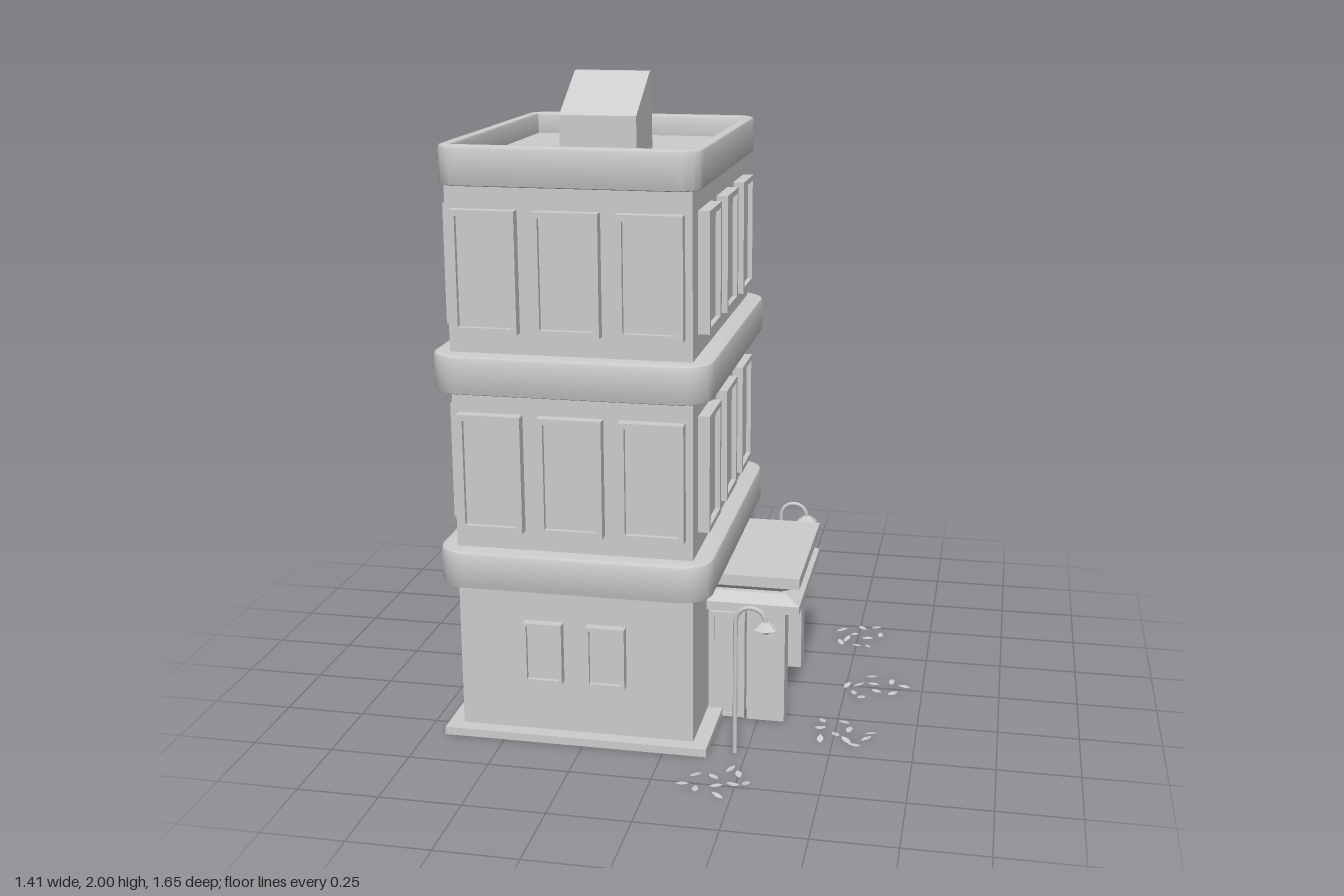
import * as THREE from 'three';
import { toCreasedNormals } from 'three/addons/utils/BufferGeometryUtils.js';

const grey = new THREE.MeshStandardMaterial({ color: 0xcccccc, side: THREE.DoubleSide });
grey.name = 'light grey';

const CX = -0.278, CZ = 0.053; // centre of the tower

function add(parent, name, geo) {
  const m = new THREE.Mesh(geo, grey);
  m.name = name;
  parent.add(m);
  return m;
}
function group(parent, name) {
  const g = new THREE.Group();
  g.name = name;
  parent.add(g);
  return g;
}
function box(parent, name, x0, x1, y0, y1, z0, z1) {
  const m = add(parent, name, new THREE.BoxGeometry(x1 - x0, y1 - y0, z1 - z0));
  m.position.set((x0 + x1) / 2, (y0 + y1) / 2, (z0 + z1) / 2);
  return m;
}
// Rectangle outline about the origin, with optional round corners
function rect(w, d, r = 0, T = THREE.Shape) {
  const s = new T(), a = w / 2, b = d / 2;
  if (!r) {
    s.moveTo(-a, -b).lineTo(a, -b).lineTo(a, b).lineTo(-a, b).closePath();
    return s;
  }
  s.absarc(a - r, b - r, r, 0, Math.PI / 2);
  s.absarc(-a + r, b - r, r, Math.PI / 2, Math.PI);
  s.absarc(-a + r, -b + r, r, Math.PI, Math.PI * 1.5);
  s.absarc(a - r, -b + r, r, Math.PI * 1.5, Math.PI * 2);
  s.closePath();
  return s;
}
// Horizontal slab or ring around the tower
function slab(parent, name, w, d, y0, y1, r, hole, bevel = 0) {
  const s = rect(w - 2 * bevel, d - 2 * bevel, r);
  if (hole) s.holes.push(rect(hole[0] + 2 * bevel, hole[1] + 2 * bevel, 0, THREE.Path));
  let g = new THREE.ExtrudeGeometry(s, {
    depth: y1 - y0 - 2 * bevel, bevelEnabled: bevel > 0, bevelSize: bevel,
    bevelThickness: bevel, bevelSegments: 2, curveSegments: 6,
  });
  g.rotateX(-Math.PI / 2);
  if (r) g = toCreasedNormals(g, 0.5);
  const m = add(parent, name, g);
  m.position.set(CX, y0 + bevel, CZ);
}
// Box whose top and bottom rectangles differ by an inset
function frustum(parent, name, x0, x1, y0, y1, z0, z1, insetBottom, insetTop) {
  const m = box(parent, name, x0, x1, y0, y1, z0, z1), p = m.geometry.attributes.position;
  for (let i = 0; i < p.count; i++) {
    const inset = p.getY(i) > 0 ? insetTop : insetBottom;
    p.setX(i, p.getX(i) - Math.sign(p.getX(i)) * inset);
    p.setZ(i, p.getZ(i) - Math.sign(p.getZ(i)) * inset);
  }
  m.geometry = m.geometry.toNonIndexed();
  m.geometry.computeVertexNormals();
}
function rod(parent, name, a, b, r, sides = 6) {
  const v = new THREE.Vector3(...a), w = new THREE.Vector3(...b), d = w.clone().sub(v);
  const m = add(parent, name, new THREE.CylinderGeometry(r, r, d.length(), sides));
  m.position.copy(v).add(w).multiplyScalar(0.5);
  m.quaternion.setFromUnitVectors(new THREE.Vector3(0, 1, 0), d.normalize());
}
// Raised frame with a recessed pane, facing +z before turning
function framed(parent, name, w, h, x, y, z, turn, depth = 0.035, border = 0.018) {
  const g = group(parent, name);
  const s = rect(w, h);
  s.holes.push(rect(w - 2 * border, h - 2 * border, 0, THREE.Path));
  add(g, 'frame', new THREE.ExtrudeGeometry(s, { depth, bevelEnabled: false }));
  box(g, 'pane', -w / 2 + border, w / 2 - border, -h / 2 + border, h / 2 - border, 0, depth * 0.55);
  g.position.set(x, y, z);
  g.rotation.y = turn;
}

function buildLamp(parent, z) {
  const g = group(parent, 'streetLamp');
  rod(g, 'lampPole', [0.215, 0, 0], [0.215, 0.43, 0], 0.007, 8);
  const pts = [];
  for (let i = 0; i <= 8; i++) {
    const a = Math.PI * (1 - i / 8);
    pts.push(new THREE.Vector3(0.26 + 0.045 * Math.cos(a), 0.43 + 0.045 * Math.sin(a), 0));
  }
  add(g, 'lampArm', new THREE.TubeGeometry(new THREE.CatmullRomCurve3(pts), 16, 0.007, 8));
  const shade = add(g, 'lampShade', new THREE.CylinderGeometry(0.012, 0.038, 0.02, 6).toNonIndexed());
  shade.geometry.computeVertexNormals();
  shade.position.set(0.306, 0.423, 0);
  const bulb = add(g, 'bulb', new THREE.SphereGeometry(0.016, 8, 6));
  bulb.position.set(0.306, 0.41, 0);
  g.position.z = z;
}

function buildBicycle(parent, x) {
  const g = group(parent, 'bicycle');
  for (const wx of [-0.1, 0.1]) {
    const w = group(g, 'wheel');
    add(w, 'tyre', new THREE.TorusGeometry(0.062, 0.004, 6, 24));
    for (let i = 0; i < 5; i++) {
      const c = 0.062 * Math.cos(i * Math.PI / 5), s = 0.062 * Math.sin(i * Math.PI / 5);
      rod(w, 'spoke', [-c, -s, 0], [c, s, 0], 0.0012, 4);
    }
    rod(w, 'hub', [0, 0, -0.01], [0, 0, 0.01], 0.006);
    w.position.set(wx, 0.066, 0);
  }
  const crank = [-0.005, 0.06, 0], seat = [0.045, 0.145, 0], head = [-0.07, 0.145, 0];
  const rear = [0.1, 0.066, 0], front = [-0.1, 0.066, 0];
  for (const [a, b] of [[crank, seat], [crank, head], [seat, head], [crank, rear], [seat, rear], [head, front]])
    rod(g, 'frameTube', a, b, 0.004);
  rod(g, 'seatPost', seat, [0.055, 0.167, 0], 0.004);
  rod(g, 'stem', head, [-0.062, 0.178, 0], 0.004);
  rod(g, 'handlebar', [-0.068, 0.18, -0.025], [-0.068, 0.18, 0.025], 0.004);
  for (const s of [-1, 1]) {
    rod(g, 'grip', [-0.068, 0.18, s * 0.024], [-0.09, 0.176, s * 0.018], 0.004);
    rod(g, 'crankArm', [-0.005, 0.06, s * 0.01], [-0.005 + s * 0.015, 0.06 - s * 0.02, s * 0.01], 0.003);
    box(g, 'pedal', -0.015 + s * 0.015, 0.005 + s * 0.015, 0.057 - s * 0.02, 0.063 - s * 0.02, s * 0.016 - 0.007, s * 0.016 + 0.007);
  }
  rod(g, 'chainRing', [-0.005, 0.06, 0.004], [-0.005, 0.06, 0.009], 0.018, 12);
  const saddle = add(g, 'saddle', new THREE.CylinderGeometry(0.005, 0.016, 0.07, 8));
  saddle.rotation.z = Math.PI / 2;
  saddle.scale.x = 0.5;
  saddle.position.set(0.055, 0.17, 0);
  g.position.set(x, 0, -0.572);

  // Bike stand between bicycle and wall
  const hoop = rectHoop(0.1, 0.175, 0.025);
  add(parent, 'bikeStand', new THREE.TubeGeometry(hoop, 32, 0.006, 8)).position.set(x - 0.002, 0, -0.522);
}
function rectHoop(w, h, r) {
  const a = w / 2, v = (x, y) => new THREE.Vector3(x, y, 0), p = new THREE.CurvePath();
  p.add(new THREE.LineCurve3(v(-a, 0), v(-a, h - r)));
  p.add(new THREE.QuadraticBezierCurve3(v(-a, h - r), v(-a, h), v(-a + r, h)));
  p.add(new THREE.LineCurve3(v(-a + r, h), v(a - r, h)));
  p.add(new THREE.QuadraticBezierCurve3(v(a - r, h), v(a, h), v(a, h - r)));
  p.add(new THREE.LineCurve3(v(a, h - r), v(a, 0)));
  return p;
}

export function createModel() {
  const root = new THREE.Group();
  root.name = 'townBuilding';

  // Tower: hollow ground floor, upper storeys, ledges and parapet
  slab(root, 'plinth', 0.825, 1.065, 0, 0.025, 0, [0.7, 0.94]);
  slab(root, 'groundFloorWalls', 0.73, 0.973, 0, 0.56, 0, [0.7, 0.943]);
  slab(root, 'upperStoreys', 0.73, 0.973, 0.56, 1.76, 0);
  slab(root, 'lowerLedge', 0.846, 1.094, 0.495, 0.612, 0.085, null, 0.012);
  slab(root, 'upperLedge', 0.846, 1.094, 1.102, 1.219, 0.085, null, 0.012);
  slab(root, 'parapet', 0.778, 1.028, 1.712, 1.828, 0.06, [0.708, 0.925], 0.01);

  // Large windows on two storeys, small ones at ground level
  const X0 = -0.643, X1 = 0.087, Z0 = -0.433, Z1 = 0.54, H = Math.PI / 2;
  for (const y of [0.855, 1.465]) {
    for (const d of [-0.246, 0, 0.246]) {
      framed(root, 'frontWindow', 0.195, 0.362, CX + d, y, Z1, 0);
      framed(root, 'backWindow', 0.195, 0.362, CX + d, y, Z0, 2 * H);
    }
    for (const d of [-0.299, 0, 0.299]) {
      framed(root, 'leftWindow', 0.195, 0.362, X1, y, 0.062 + d, H);
      framed(root, 'rightWindow', 0.195, 0.362, X0, y, 0.062 + d, -H);
    }
  }
  for (const d of [-0.098, 0.098]) {
    framed(root, 'smallFrontWindow', 0.12, 0.193, CX + d, 0.289, Z1, 0, 0.03, 0.01);
    framed(root, 'smallBackWindow', 0.12, 0.193, CX + d, 0.289, Z0, 2 * H, 0.03, 0.01);
    for (const s of [-0.224, 0.224])
      framed(root, 'smallRightWindow', 0.12, 0.193, X0, 0.289, 0.07 + s + d, -H, 0.03, 0.01);
  }

  // Entrance porch with pillars, double door and stepped canopy
  const porch = group(root, 'porch');
  box(porch, 'vestibule', 0.08, 0.2, 0, 0.375, -0.175, 0.287);
  for (const z of [-0.193, 0.225]) box(porch, 'pillar', 0.214, 0.333, 0, 0.375, z, z + 0.079);
  for (const z of [-0.032, 0.145]) framed(porch, 'door', 0.162, 0.355, 0.2, 0.178, z, H, 0.016, 0.012);
  framed(porch, 'sideGlassFront', 0.11, 0.355, 0.15, 0.178, 0.287, 0, 0.012, 0.012);
  framed(porch, 'sideGlassBack', 0.11, 0.355, 0.15, 0.178, -0.175, 2 * H, 0.012, 0.012);
  box(porch, 'lowerCanopy', 0.03, 0.378, 0.37, 0.397, -0.213, 0.318);
  frustum(porch, 'canopySlope', 0.03, 0.378, 0.397, 0.42, -0.213, 0.318, 0, 0.045);
  frustum(porch, 'canopyCove', 0.03, 0.378, 0.42, 0.455, -0.213, 0.318, 0.065, 0.01);
  box(porch, 'upperCanopy', 0.03, 0.378, 0.455, 0.49, -0.213, 0.318);

  // Rooftop stair house with a sloping roof and a door at the back
  const stair = group(root, 'stairHouse');
  const side = new THREE.Shape([[0.165, 1.74], [0.165, 1.88], [-0.03, 2], [-0.058, 2], [-0.058, 1.74]]
    .map(p => new THREE.Vector2(...p)));
  const g = new THREE.ExtrudeGeometry(side, { depth: 0.24, bevelEnabled: false });
  g.rotateY(-H);
  add(stair, 'stairHouseBody', g).position.x = -0.159;
  framed(stair, 'roofDoor', 0.195, 0.24, CX, 1.875, -0.058, 2 * H, 0.02, 0.015);
  box(stair, 'doorPost', CX - 0.006, CX + 0.006, 1.76, 1.985, -0.075, -0.06);

  for (const z of [-0.436, 0.535]) buildLamp(root, z);
  for (const x of [-0.47, -0.038]) buildBicycle(root, x);

  // Fallen leaves: one scatter pattern, turned for each pile
  const leaf = new THREE.Shape();
  leaf.moveTo(-0.021, 0).quadraticCurveTo(-0.002, 0.02, 0.021, 0).quadraticCurveTo(-0.002, -0.02, -0.021, 0);
  const leafGeo = new THREE.ShapeGeometry(leaf, 4).rotateX(-H);
  const spots = [[-7, -18], [-2, -11], [16, -9], [-16, -8], [-20, 0], [5, -2], [-5, 5], [15, 8], [-2, 17], [13, 19]];
  const piles = [[-0.455, -0.733, 0], [0.505, -0.405, 2], [0.59, 0.005, 1.2], [0.525, 0.355, 3.3], [0.195, 0.735, 4.4]];
  for (const [x, z, turn] of piles) {
    const pile = group(root, 'leafPile');
    spots.forEach(([a, b], i) => {
      const m = add(pile, 'leaf', leafGeo);
      m.position.set(a / 225, 0.005, b / 225);
      m.rotation.set(0.15 * Math.sin(i * 5), i * 2.3, 0.15 * Math.cos(i * 3));
    });
    pile.position.set(x, 0, z);
    pile.rotation.y = turn;
  }
  return root;
}
